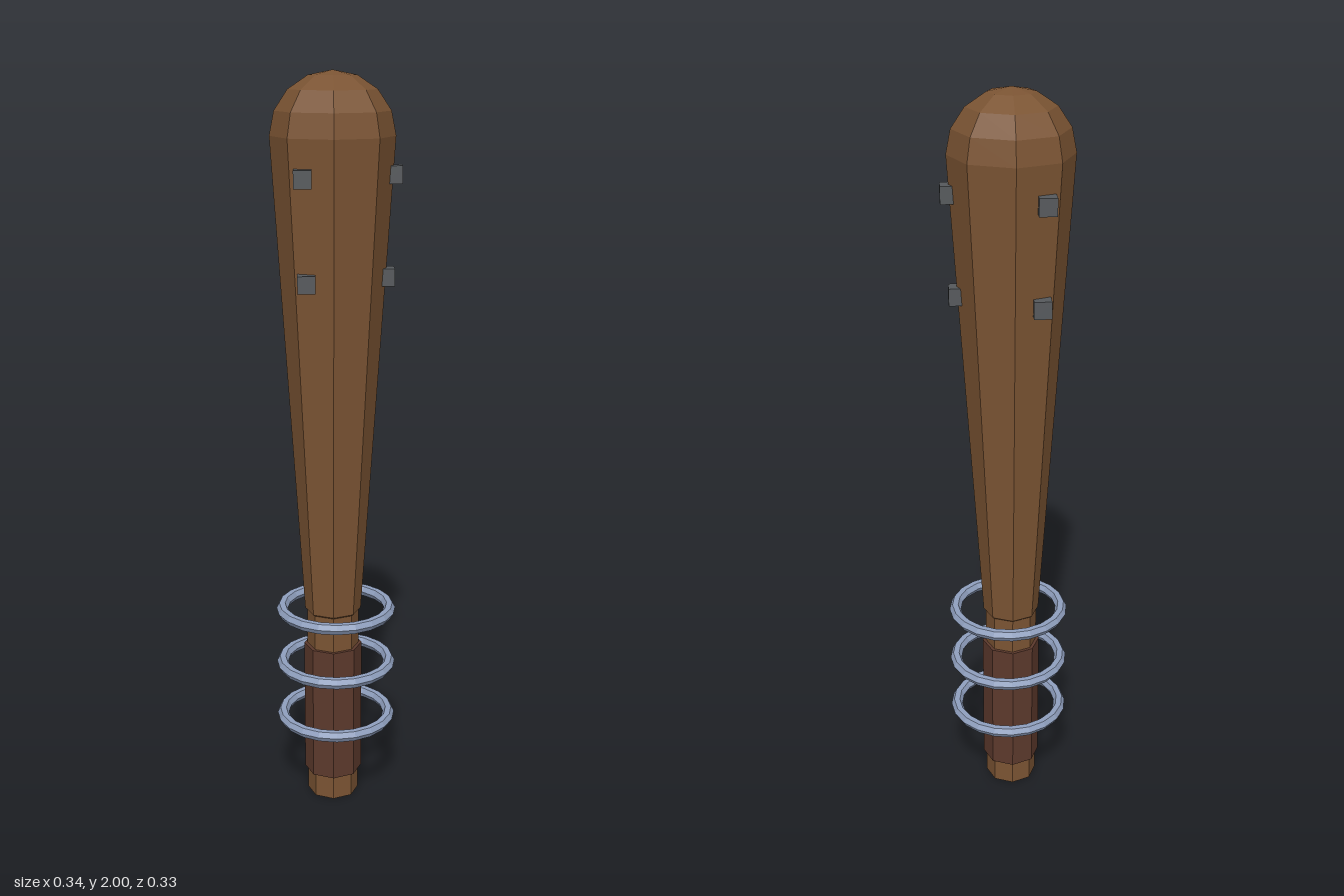
import * as THREE from 'three';

const material = (name, color) => {
  const m = new THREE.MeshStandardMaterial({ color, flatShading: true });
  m.name = name;
  return m;
};

export function createModel() {
  const wood = material('wood', 0x7b5433);
  const leather = material('leather', 0x5c392c);
  const steel = material('ring steel', 0x8f9fbe);
  const iron = material('stud iron', 0x56595c);

  const model = new THREE.Group();
  model.name = 'spikedClub';
  const add = (parent, name, geometry, mat, x, y, z = 0) => {
    const mesh = new THREE.Mesh(geometry, mat);
    mesh.name = name;
    mesh.position.set(x, y, z);
    parent.add(mesh);
    return mesh;
  };

  // The shaft sits slightly off centre, balancing the stud on the left side
  const club = new THREE.Group();
  club.name = 'club';
  club.position.x = -0.008;
  model.add(club);

  // Eight-sided wooden body: handle, tapering barrel and domed head in one profile
  const profile = [[0, 0], [0.071, 0], [0.071, 0.555], [0.077, 0.56], [0.16, 1.84]];
  for (let i = 1; i <= 4; i++) {
    const a = (i * Math.PI) / 8;
    profile.push([i === 4 ? 0 : 0.16 * Math.cos(a), 1.84 + 0.16 * Math.sin(a)]);
  }
  const points = profile.map(([r, y]) => new THREE.Vector2(r, y));
  add(club, 'body', new THREE.LatheGeometry(points, 8), wood, 0, 0);

  // Leather grip
  add(club, 'grip', new THREE.CylinderGeometry(0.08, 0.08, 0.385, 8), leather, 0, 0.2625);

  // Two rows of three square studs
  const studGeometry = new THREE.BoxGeometry(0.045, 0.045, 0.045);
  for (const [y, radius] of [[1.485, 0.137], [1.745, 0.154]]) {
    for (let i = 0; i < 3; i++) {
      const a = (i * Math.PI * 2) / 3;
      add(club, 'stud', studGeometry, iron, radius * Math.cos(a), y, radius * Math.sin(a));
    }
  }

  // Loose rings around the handle
  const ringGeometry = new THREE.TorusGeometry(0.149, 0.016, 6, 20).rotateX(Math.PI / 2);
  for (const y of [0.24, 0.4, 0.56]) add(model, 'ring', ringGeometry, steel, 0, y);

  return model;
}
